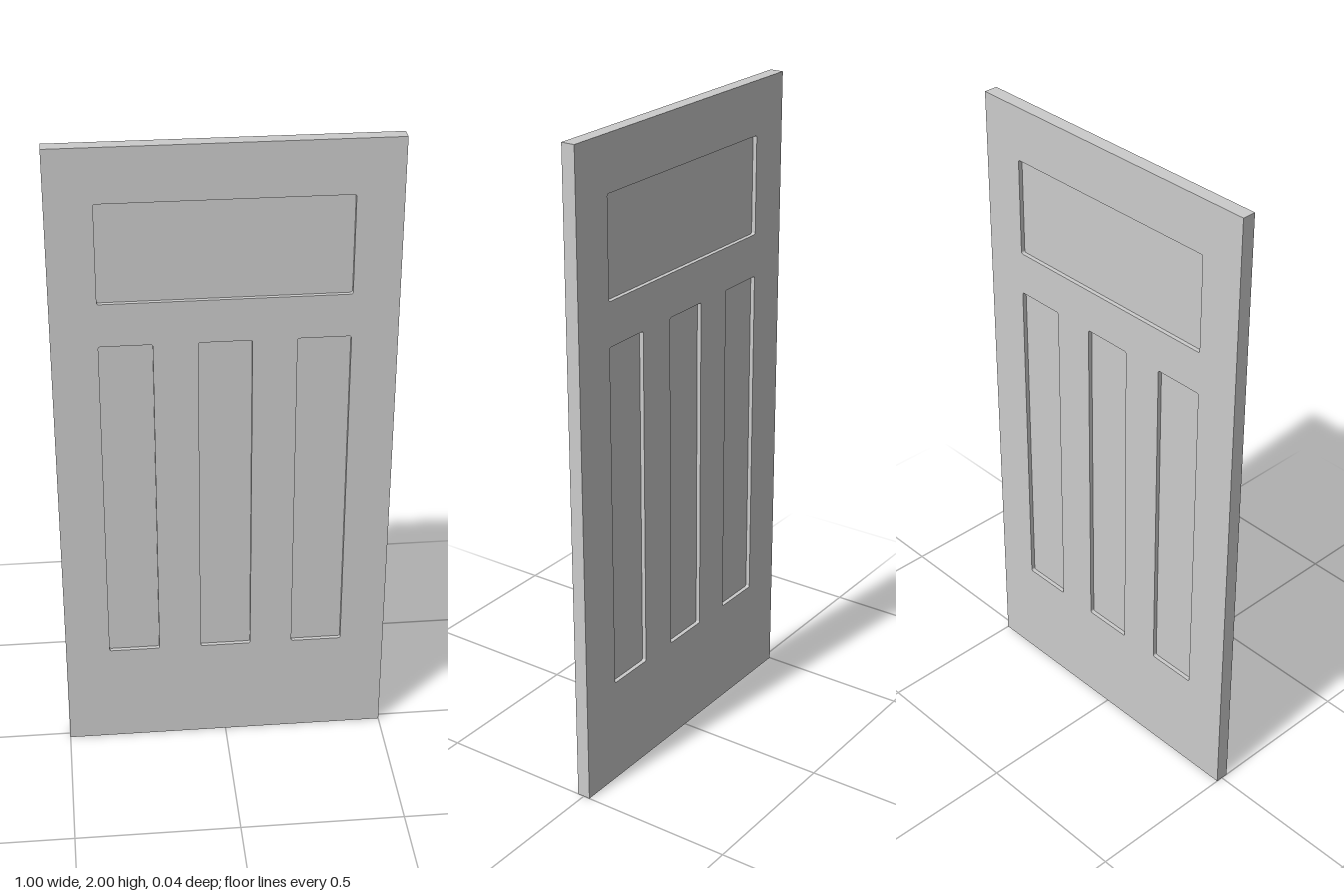
import * as THREE from 'three';

const THICK = 0.042;   // door slab
const PANEL = 0.016;   // recessed panels, set in from both faces
const mat = new THREE.MeshStandardMaterial({ color: 0xcccccc });

// Rectangle with slightly rounded corners
function roundedRect(target, [x0, x1, y0, y1], r = 0.006) {
  target.moveTo(x0 + r, y0);
  target.lineTo(x1 - r, y0);
  target.absarc(x1 - r, y0 + r, r, -Math.PI / 2, 0);
  target.lineTo(x1, y1 - r);
  target.absarc(x1 - r, y1 - r, r, 0, Math.PI / 2);
  target.lineTo(x0 + r, y1);
  target.absarc(x0 + r, y1 - r, r, Math.PI / 2, Math.PI);
  target.lineTo(x0, y0 + r);
  target.absarc(x0 + r, y0 + r, r, Math.PI, Math.PI * 1.5);
  return target;
}

// Extrusion centred on z = 0
function slab(name, shape, depth) {
  const geo = new THREE.ExtrudeGeometry(shape, { depth, bevelEnabled: false, curveSegments: 4 });
  geo.translate(0, 0, -depth / 2);
  const mesh = new THREE.Mesh(geo, mat);
  mesh.name = name;
  return mesh;
}

export function createModel() {
  const door = new THREE.Group();
  door.name = 'panelDoor';

  // Openings: x0, x1, y0, y1
  const openings = {
    topPanel: [-0.364, 0.364, 1.533, 1.836],
    rightPanel: [-0.364, -0.208, 0.333, 1.4],
    middlePanel: [-0.078, 0.078, 0.333, 1.4],
    leftPanel: [0.208, 0.364, 0.333, 1.4],
  };

  // Stiles and rails as one frame with four openings
  const frame = new THREE.Shape();
  frame.moveTo(-0.5, 0).lineTo(0.5, 0).lineTo(0.5, 2).lineTo(-0.5, 2).closePath();
  for (const rect of Object.values(openings)) frame.holes.push(roundedRect(new THREE.Path(), rect));
  door.add(slab('frame', frame, THICK));

  // Thin panels filling the openings
  for (const [name, rect] of Object.entries(openings)) {
    door.add(slab(name, roundedRect(new THREE.Shape(), rect), PANEL));
  }
  return door;
}
